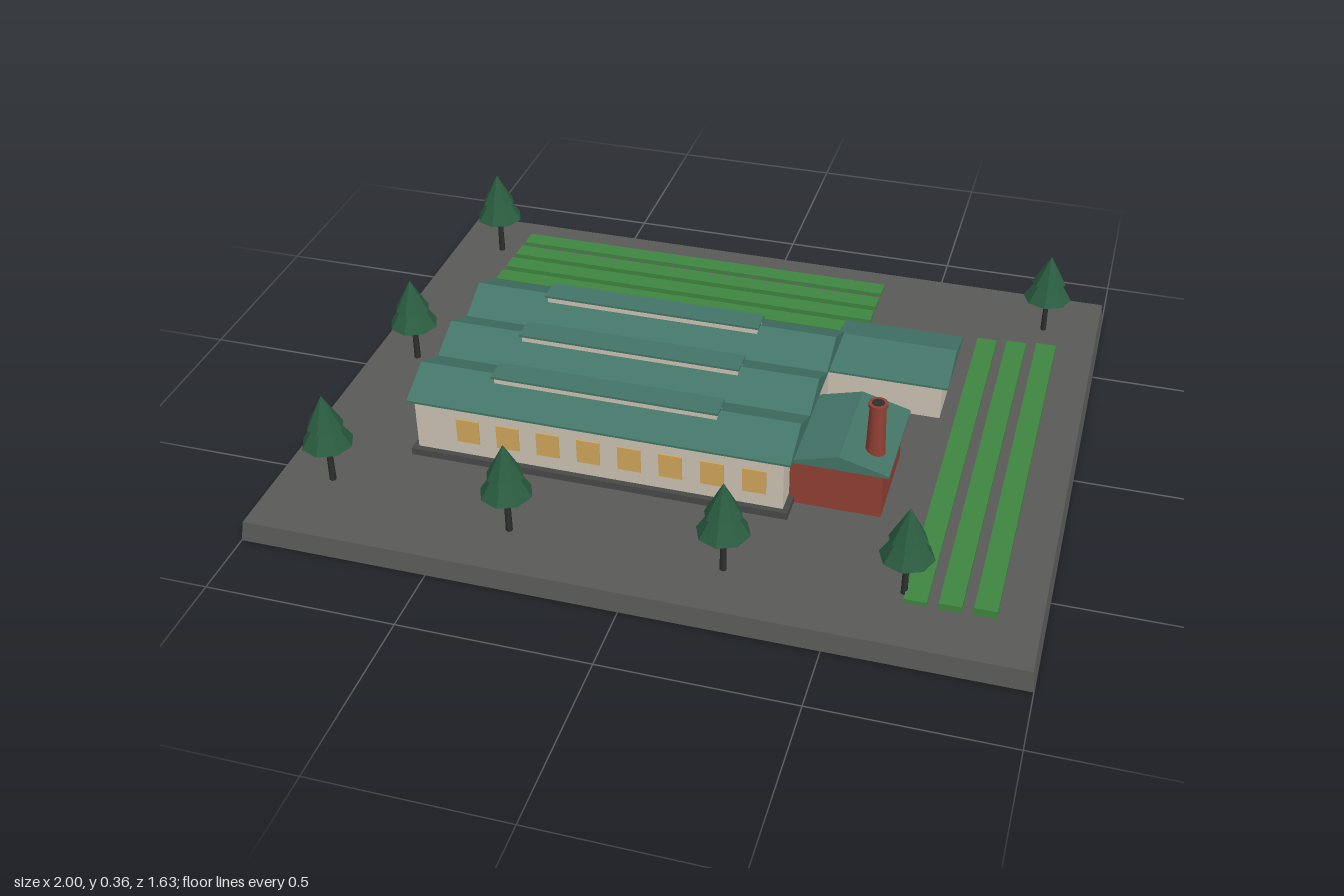
import * as THREE from 'three';

const mat = (name, color, flat = false) => {
  const m = new THREE.MeshStandardMaterial({ color, flatShading: flat });
  m.name = name;
  return m;
};

export function createModel() {
  const root = new THREE.Group();
  root.name = 'factorySite';
  const M = {
    ground: mat('ground grey', 0x5a5a58),
    dark: mat('dark grey', 0x2e302f),
    plinth: mat('plinth grey', 0x484a48),
    cream: mat('cream wall', 0xcdc5b4),
    roof: mat('teal roof', 0x447568),
    gold: mat('golden window', 0xd2a85c),
    brick: mat('red brick', 0x924034),
    crop: mat('crop green', 0x3f8640),
    tree: mat('pine green', 0x2a5c40, true),
  };
  const G = 0.055; // ground level

  const add = (name, geo, material, parent = root) => {
    const mesh = new THREE.Mesh(geo, material);
    mesh.name = name;
    parent.add(mesh);
    return mesh;
  };
  // box from its limits on each axis
  const box = (name, [x0, x1], [y0, y1], [z0, z1], material, parent) => {
    const b = add(name, new THREE.BoxGeometry(x1 - x0, y1 - y0, z1 - z0), material, parent);
    b.position.set((x0 + x1) / 2, (y0 + y1) / 2, (z0 + z1) / 2);
    return b;
  };
  // solid gable roof, ridge along x or z
  const gable = (name, axis, [a0, a1], [y0, y1], [c0, c1], parent) => {
    const h = (c1 - c0) / 2, lip = 0.006;
    const s = new THREE.Shape([[-h, 0], [h, 0], [h, lip], [0, y1 - y0], [-h, lip]]
      .map(([x, y]) => new THREE.Vector2(x, y)));
    const g = new THREE.ExtrudeGeometry(s, { depth: a1 - a0, bevelEnabled: false });
    g.translate(0, 0, -(a1 - a0) / 2);
    if (axis === 'x') g.rotateY(Math.PI / 2);
    const a = (a0 + a1) / 2, c = (c0 + c1) / 2;
    const r = add(name, g, M.roof, parent);
    r.position.set(axis === 'x' ? a : c, y0, axis === 'x' ? c : a);
  };
  const group = (name) => {
    const g = new THREE.Group();
    g.name = name;
    root.add(g);
    return g;
  };

  // slightly tapered ground slab
  const slab = new THREE.BoxGeometry(2, G, 1.63);
  const p = slab.attributes.position;
  for (let i = 0; i < p.count; i++) {
    if (p.getY(i) > 0) {
      p.setX(i, p.getX(i) * 0.993);
      p.setZ(i, p.getZ(i) * 0.991);
    }
  }
  slab.computeVertexNormals();
  add('groundSlab', slab, M.ground).position.y = G / 2;

  // main hall: three bays side by side, each with a roof lantern
  const hall = group('mainHall');
  box('hallPlinth', [-0.695, 0.325], [G, 0.075], [-0.22, 0.43], M.plinth, hall);
  box('hallWalls', [-0.68, 0.31], [0.075, 0.217], [-0.2, 0.414], M.cream, hall);
  for (const z of [-0.1, 0.105, 0.31]) {
    gable('bayRoof', 'x', [-0.7, 0.328], [0.215, 0.272], [z - 0.11, z + 0.11], hall);
    box('lanternWalls', [-0.485, 0.115], [0.24, 0.279], [z - 0.026, z + 0.026], M.cream, hall);
    box('lanternCap', [-0.49, 0.12], [0.279, 0.285], [z - 0.035, z + 0.035], M.roof, hall);
  }
  for (let i = 0; i < 8; i++) {
    const x = -0.535 + i * 0.11;
    box('frontWindow', [x - 0.031, x + 0.031], [0.115, 0.185], [0.411, 0.418], M.gold, hall);
    box('backWindow', [x - 0.031, x + 0.031], [0.115, 0.185], [-0.204, -0.197], M.gold, hall);
  }
  for (let i = 0; i < 9; i++) {
    const x = -0.59 + i * 0.11;
    box('backPier', [x - 0.009, x + 0.009], [0.075, 0.215], [-0.212, -0.198], M.dark, hall);
  }

  // brick boiler house and chimney
  const boiler = group('boilerHouse');
  box('boilerWalls', [0.312, 0.55], [G, 0.195], [0.09, 0.355], M.brick, boiler);
  gable('boilerRoof', 'z', [0.073, 0.368], [0.19, 0.231], [0.31, 0.567], boiler);
  add('chimney', new THREE.CylinderGeometry(0.021, 0.027, 0.19, 16), M.brick, boiler)
    .position.set(0.515, 0.257, 0.285);
  add('chimneyRim', new THREE.CylinderGeometry(0.025, 0.025, 0.009, 16), M.brick, boiler)
    .position.set(0.515, 0.351, 0.285);
  add('chimneyMouth', new THREE.CylinderGeometry(0.016, 0.016, 0.002, 16), M.dark, boiler)
    .position.set(0.515, 0.3555, 0.285);

  // low cream annex at the back corner
  const annex = group('annex');
  box('annexWalls', [0.31, 0.622], [G, 0.163], [-0.335, -0.107], M.cream, annex);
  gable('annexRoof', 'x', [0.308, 0.64], [0.16, 0.205], [-0.355, -0.092], annex);
  box('annexBackDoors', [0.345, 0.6], [0.075, 0.14], [-0.339, -0.332], M.gold, annex);

  // planted rows, stepping down away from the buildings
  const field = group('plantedRows');
  for (let i = 0; i < 5; i++) {
    const z = -0.372 - i * 0.083;
    box('backRow', [-0.79, 0.348], [G, 0.083 - i * 0.0045], [z - 0.027, z + 0.027], M.crop, field);
  }
  for (let i = 0; i < 3; i++) {
    const x = 0.692 + i * 0.084;
    box('sideRow', [x - 0.028, x + 0.028], [G, 0.066 + i * 0.006], [-0.515, 0.655], M.crop, field);
  }

  // low-poly pines: x, z, total height above the ground
  const pines = [
    [-0.85, -0.63, 0.262], [0.84, -0.63, 0.245], [-0.865, 0, 0.255], [-0.85, 0.585, 0.265],
    [-0.335, 0.655, 0.265], [0.22, 0.655, 0.265], [0.66, 0.62, 0.258],
  ];
  for (const [x, z, h] of pines) {
    const t = group('pineTree');
    t.position.set(x, G, z);
    t.scale.y = h;
    add('trunk', new THREE.CylinderGeometry(0.007, 0.009, 0.6, 6), M.dark, t).position.y = 0.3;
    add('lowerFoliage', new THREE.ConeGeometry(0.068, 0.42, 8), M.tree, t).position.y = 0.66;
    add('upperFoliage', new THREE.ConeGeometry(0.048, 0.35, 8), M.tree, t).position.y = 0.825;
  }
  return root;
}
